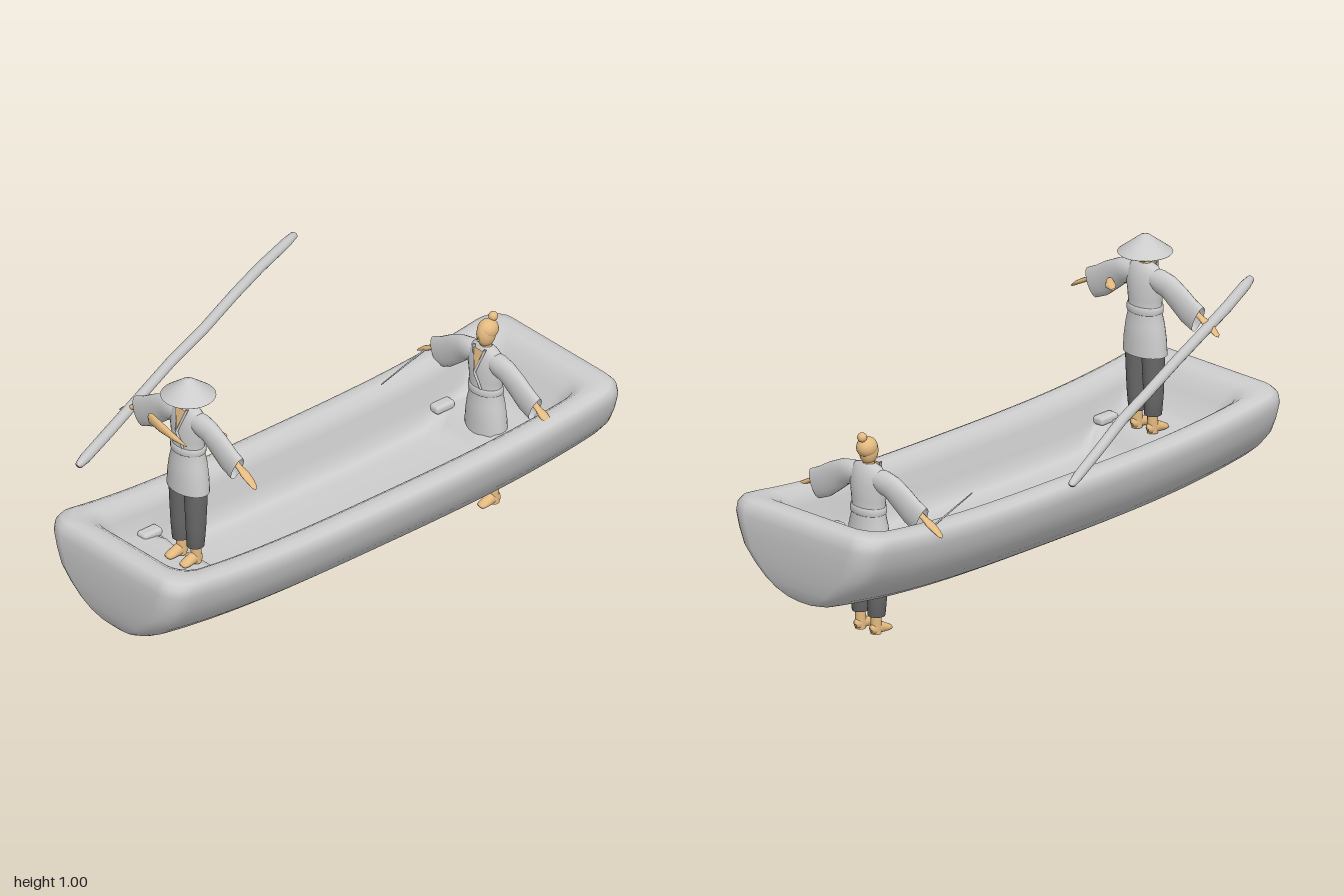
import * as THREE from 'three';
import { RoundedBoxGeometry } from 'three/addons/geometries/RoundedBoxGeometry.js';

const V = (x, y, z) => new THREE.Vector3(x, y, z);
const mat = (name, color, side = THREE.FrontSide) => {
  const m = new THREE.MeshStandardMaterial({ color, side });
  m.name = name;
  return m;
};

// Joins closed rings of equal point count into one smooth skin.
function stitch(rings) {
  const n = rings[0].length, pos = [], idx = [];
  rings.forEach(r => r.forEach(p => pos.push(p.x, p.y, p.z)));
  for (let i = 0; i < rings.length - 1; i++) for (let j = 0; j < n; j++) {
    const a = i * n + j, b = i * n + (j + 1) % n;
    idx.push(a, b, b + n, a, b + n, a + n);
  }
  const g = new THREE.BufferGeometry();
  g.setAttribute('position', new THREE.Float32BufferAttribute(pos, 3));
  g.setIndex(idx);
  g.computeVertexNormals();
  return g;
}

// Sweeps an ellipse through stations [x, y, z, width, height]; ref is the height direction.
function sweep(st, ref, sides = 18) {
  const c = st.map(s => V(s[0], s[1], s[2]));
  return stitch(st.map((s, i) => {
    const t = c[Math.min(i + 1, c.length - 1)].clone().sub(c[Math.max(i - 1, 0)]).normalize();
    const u = ref.clone().cross(t).normalize(), w = t.clone().cross(u);
    return Array.from({ length: sides }, (_, k) => {
      const a = k / sides * Math.PI * 2;
      return c[i].clone().addScaledVector(u, s[3] * Math.cos(a)).addScaledVector(w, s[4] * Math.sin(a));
    });
  }));
}

// Rounded rectangle in plan, lifted towards the bow and stern; well rings also step up to the end decks.
function hullRing([hw, hl, r, y, inWell]) {
  const pts = [], corners = [[1, 1], [1, -1], [-1, -1], [-1, 1]];
  corners.forEach(([sx, sz], q) => {
    for (let k = 0; k <= 6; k++) {
      const a = (q + k / 6) * Math.PI / 2;
      pts.push(V(sx * (hw - r) + r * Math.sin(a), y, sz * (hl - r) + r * Math.cos(a)));
    }
    const last = pts[pts.length - 1], steps = q % 2 ? 4 : 44;
    const [nx, nz] = corners[(q + 1) % 4];
    const next = q % 2 ? V(nx * (hw - r), y, last.z) : V(last.x, y, nz * (hl - r));
    for (let k = 1; k < steps; k++) pts.push(last.clone().lerp(next, k / steps));
  });
  pts.forEach(p => {
    const deck = p.z > 0 ? 0.298 : 0.265;
    if (inWell && y < deck) p.y += (deck - y) * THREE.MathUtils.smoothstep(Math.abs(p.z), 0.54, 0.62);
    p.y += 0.06 * Math.abs(p.z / 0.96) ** 3;
  });
  return pts;
}

export function createModel() {
  const model = new THREE.Group();
  const grey = mat('plain grey', 0xcccccc, THREE.DoubleSide);
  const dark = mat('dark cloth', 0x686868);
  const skin = mat('skin', 0xe4ba80, THREE.DoubleSide);
  const Y = V(0, 1, 0), Z = V(0, 0, 1);
  const add = (parent, name, geo, m, x = 0, y = 0, z = 0) => {
    const mesh = new THREE.Mesh(geo, m);
    mesh.name = name;
    mesh.position.set(x, y, z);
    parent.add(mesh);
    return mesh;
  };

  // Boat: outer skin, rolled rim and inner well in one loft [half width, half length, corner, y, in well]
  const boat = new THREE.Group();
  boat.name = 'boat';
  boat.position.set(0.23, 0, -0.025);
  model.add(boat);
  add(boat, 'hull', stitch([
    [0, 0.93, 0, 0.113], [0.05, 0.94, 0.03, 0.114], [0.092, 0.948, 0.04, 0.122],
    [0.137, 0.957, 0.05, 0.14], [0.182, 0.964, 0.06, 0.166], [0.23, 0.97, 0.07, 0.205],
    [0.27, 0.974, 0.07, 0.252], [0.298, 0.975, 0.08, 0.305],
    [0.313, 0.974, 0.08, 0.355], [0.315, 0.966, 0.08, 0.385], [0.306, 0.95, 0.08, 0.406],
    [0.285, 0.925, 0.08, 0.416], [0.25, 0.89, 0.08, 0.415], [0.225, 0.86, 0.08, 0.4],
    [0.212, 0.83, 0.08, 0.36], [0.2, 0.79, 0.08, 0.295, true], [0.188, 0.76, 0.08, 0.255, true],
    [0.17, 0.73, 0.07, 0.23, true], [0.13, 0.67, 0.06, 0.22, true], [0, 0.64, 0, 0.22, true],
  ].map(hullRing)), grey);
  for (const [end, y, z] of [['bow', 0.318, 0.635], ['stern', 0.288, -0.615]]) for (const s of [-1, 1]) {
    add(boat, end + 'Ledge', new RoundedBoxGeometry(0.045, 0.03, 0.08, 3, 0.012), grey, s * 0.182, y, z);
  }

  // A robed figure standing with arms spread
  function figure(name, x, y, z) {
    const g = new THREE.Group();
    g.name = name;
    g.position.set(x, y, z);
    model.add(g);
    add(g, 'robe', sweep([
      [0, 0.27, 0, 0.084, 0.056], [0, 0.32, 0, 0.08, 0.056], [0, 0.37, 0, 0.072, 0.053],
      [0, 0.42, 0, 0.06, 0.045], [0, 0.46, 0, 0.064, 0.046], [0, 0.51, 0, 0.072, 0.046],
      [0, 0.55, 0, 0.07, 0.037], [0, 0.57, 0, 0.056, 0.026], [0, 0.58, 0, 0.022, 0.018],
    ], Z, 28), grey);
    add(g, 'belt', sweep([
      [0, 0.41, 0, 0.06, 0.046], [0, 0.414, 0, 0.066, 0.051],
      [0, 0.434, 0, 0.066, 0.051], [0, 0.438, 0, 0.058, 0.044],
    ], Z, 28), grey);

    // Open neckline with lapels
    const neck = new THREE.BufferGeometry().setFromPoints(
      [V(-0.024, 0.575, 0.033), V(0, 0.495, 0.053), V(0.024, 0.575, 0.033)]);
    neck.computeVertexNormals();
    add(g, 'neckline', neck, skin);
    add(g, 'lapel', sweep([[-0.027, 0.58, 0.028, 0.004, 0.005], [0.002, 0.493, 0.051, 0.004, 0.005],
      [0.025, 0.44, 0.045, 0.004, 0.004]], Z, 8), grey);
    add(g, 'lapel', sweep([[0.027, 0.58, 0.028, 0.004, 0.005], [0, 0.493, 0.051, 0.004, 0.005]], Z, 8), grey);

    add(g, 'neck', new THREE.CylinderGeometry(0.017, 0.021, 0.05, 14), skin, 0, 0.585, 0);
    add(g, 'head', new THREE.SphereGeometry(1, 24, 16), skin, 0, 0.62, 0).scale.set(0.029, 0.045, 0.034);
    add(g, 'nose', new THREE.ConeGeometry(0.005, 0.016, 6), skin, 0, 0.614, 0.034);

    for (const s of [-1, 1]) {
      add(g, 'sleeve', sweep([
        [s * 0.03, 0.535, 0, 0.03, 0.03], [s * 0.065, 0.53, 0, 0.032, 0.04], [s * 0.105, 0.52, 0, 0.028, 0.043],
        [s * 0.15, 0.493, 0, 0.025, 0.049], [s * 0.195, 0.462, 0, 0.023, 0.052], [s * 0.238, 0.443, 0, 0.021, 0.051],
      ], Y), grey);
      add(g, 'hand', sweep([
        [s * 0.19, 0.482, 0, 0.011, 0.01], [s * 0.25, 0.453, 0, 0.011, 0.008], [s * 0.275, 0.44, 0, 0.017, 0.008],
        [s * 0.3, 0.427, 0, 0.015, 0.007], [s * 0.322, 0.412, 0, 0.01, 0.004], [s * 0.328, 0.407, 0, 0.002, 0.001],
      ], Y, 12), skin);
      add(g, 'trouserLeg', sweep([
        [s * 0.035, 0.063, 0, 0.015, 0.015], [s * 0.035, 0.065, 0, 0.028, 0.03], [s * 0.037, 0.13, 0, 0.032, 0.034],
        [s * 0.037, 0.22, 0, 0.035, 0.039], [s * 0.036, 0.33, 0, 0.037, 0.045],
      ], Z), dark);
      add(g, 'ankle', new THREE.CylinderGeometry(0.017, 0.018, 0.07, 14), skin, s * 0.035, 0.037, -0.002);
      add(g, 'foot', sweep([
        [s * 0.035, 0.016, -0.024, 0.004, 0.004], [s * 0.035, 0.018, -0.018, 0.015, 0.017],
        [s * 0.035, 0.021, 0.012, 0.018, 0.021], [s * 0.036, 0.013, 0.042, 0.019, 0.013],
        [s * 0.036, 0.01, 0.056, 0.016, 0.009], [s * 0.036, 0.009, 0.061, 0.003, 0.002],
      ], Y, 14), skin);
    }
    return g;
  }

  // Boatman with a conical hat
  const boatman = figure('boatman', 0.245, 0.32, 0.62);
  add(boatman, 'hat', new THREE.LatheGeometry(
    [[0.02, 0.634], [0.087, 0.612], [0.09, 0.615], [0.05, 0.645], [0.015, 0.671], [0, 0.676]]
      .map(p => new THREE.Vector2(...p)), 40), grey);
  add(boatman, 'frontHand', sweep([
    [-0.134, 0.492, 0.05, 0.004, 0.012], [-0.12, 0.49, 0.053, 0.01, 0.02], [-0.06, 0.483, 0.058, 0.011, 0.017],
    [0, 0.474, 0.058, 0.009, 0.01], [0.055, 0.465, 0.055, 0.002, 0.002],
  ], Y, 12), skin);
  add(boatman, 'rearHand', sweep([
    [0.13, 0.485, -0.03, 0.012, 0.012], [0.1, 0.482, -0.055, 0.018, 0.01], [0.075, 0.48, -0.07, 0.004, 0.004],
  ], Y, 12), skin);

  // Passenger with a hair bun and a thin rod
  const passenger = figure('passenger', 0.215, 0, -0.68);
  add(passenger, 'hairBun', new THREE.SphereGeometry(0.016, 16, 12), skin, 0, 0.673, -0.03);
  add(passenger, 'hairCap', new THREE.SphereGeometry(1, 20, 14), skin, 0, 0.635, -0.008).scale.set(0.033, 0.034, 0.037);
  add(model, 'rod', sweep([[-0.07, 0.435, -0.68, 0.003, 0.003], [0.02, 0.45, -0.405, 0.002, 0.002]], Y, 8), grey);

  // Long, slightly crooked punting pole
  add(model, 'pole', sweep([
    [-0.574, 0.68, -0.562, 0.001, 0.001], [-0.568, 0.681, -0.55, 0.013, 0.012], [-0.54, 0.688, -0.49, 0.017, 0.016],
    [-0.46, 0.708, -0.31, 0.018, 0.017], [-0.37, 0.725, -0.12, 0.018, 0.017], [-0.27, 0.73, 0.1, 0.018, 0.017],
    [-0.17, 0.745, 0.33, 0.018, 0.017], [-0.07, 0.75, 0.55, 0.018, 0.017], [0.03, 0.755, 0.77, 0.019, 0.018],
    [0.11, 0.764, 0.94, 0.018, 0.018], [0.131, 0.767, 0.985, 0.013, 0.013], [0.137, 0.768, 0.997, 0.001, 0.001],
  ], Y, 16), grey);

  return model;
}
